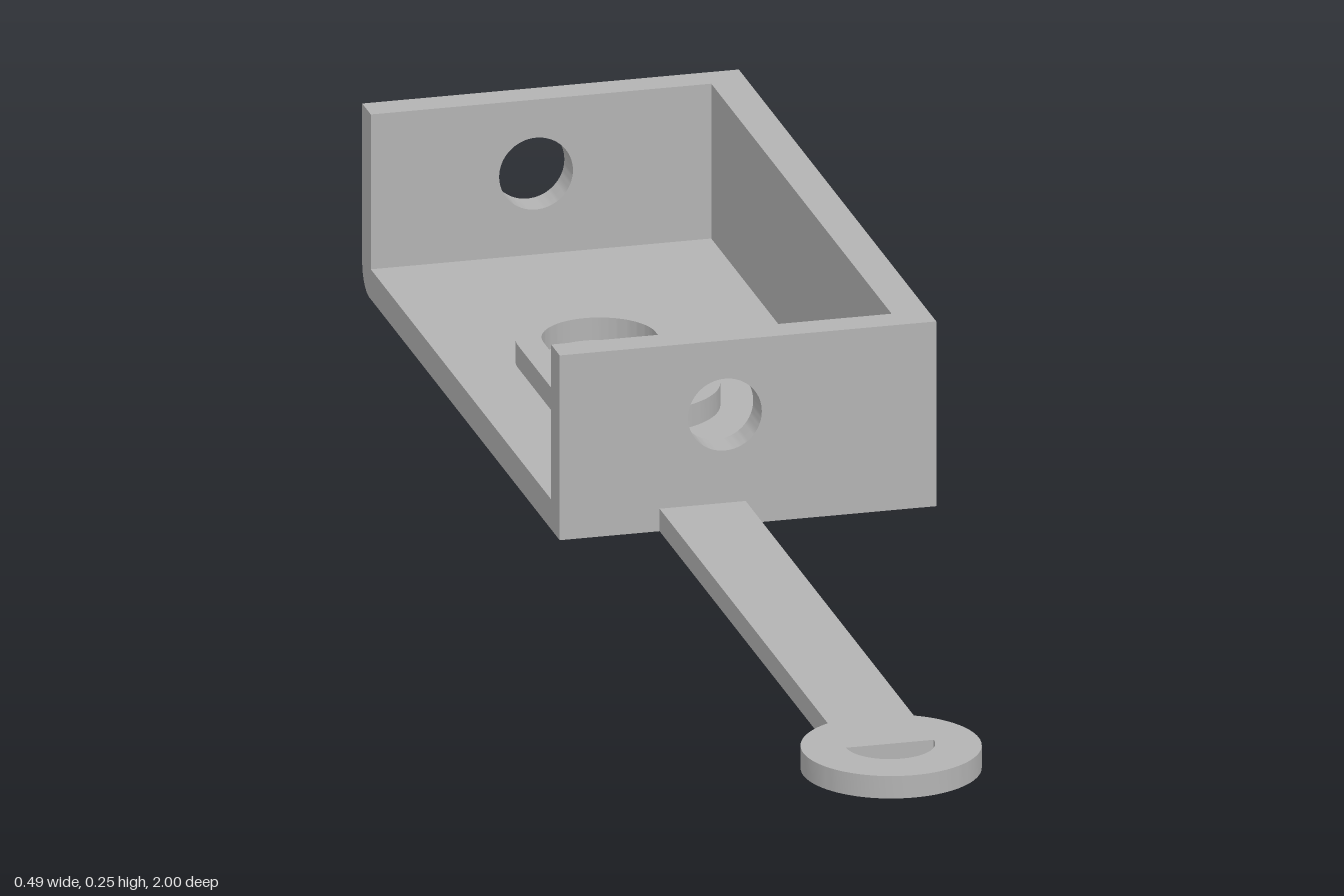
import * as THREE from 'three';
import { toCreasedNormals } from 'three/addons/utils/BufferGeometryUtils.js';

const W = 0.245;                      // half width of the tray
const BACK = -1, FRONT = -0.035;      // tray ends along z
const HEIGHT = 0.247, WALL = 0.042, FLOOR = 0.04;

export function createModel() {
  const model = new THREE.Group();
  const grey = new THREE.MeshStandardMaterial({ color: 0xb3b3b3 });
  grey.name = 'plain grey';

  const add = (name, geometry) => {
    const mesh = new THREE.Mesh(toCreasedNormals(geometry, 0.6), grey);
    mesh.name = name;
    model.add(mesh);
    return mesh;
  };
  const extrude = (shape, depth) =>
    new THREE.ExtrudeGeometry(shape, { depth, bevelEnabled: false, curveSegments: 32 });
  // Plan shapes are drawn in (x, -z) and extruded upwards
  const plate = (shape, height) => extrude(shape, height).rotateX(-Math.PI / 2);

  // Floor: side profile with a rounded lower back edge, extruded across x
  const r = 0.035;
  const profile = new THREE.Shape();
  profile.moveTo(FRONT, 0);
  profile.lineTo(FRONT, FLOOR);
  profile.lineTo(BACK, FLOOR);
  profile.lineTo(BACK, r);
  profile.absarc(BACK + r, r, r, Math.PI, Math.PI * 1.5, false);
  profile.closePath();
  add('trayFloor', extrude(profile, 2 * W).rotateY(-Math.PI / 2).translate(W, 0, 0));

  // End walls, each with a round hole
  for (const [name, z] of [['backWall', BACK], ['frontWall', FRONT - WALL]]) {
    const wall = new THREE.Shape();
    wall.moveTo(-W, FLOOR);
    wall.lineTo(W, FLOOR);
    wall.lineTo(W, HEIGHT);
    wall.lineTo(-W, HEIGHT);
    wall.closePath();
    wall.holes.push(new THREE.Path().absarc(-0.03, 0.148, 0.048, 0, Math.PI * 2, true));
    add(name, extrude(wall, WALL).translate(0, 0, z));
  }

  // Long side wall; the opposite side stays open
  const length = FRONT - BACK - 2 * WALL;
  add('sideWall', new THREE.BoxGeometry(WALL + 0.005, HEIGHT - FLOOR, length)
    .translate(W - (WALL + 0.005) / 2, (HEIGHT + FLOOR) / 2, (FRONT + BACK) / 2));

  // Raised slot-shaped rim on the floor
  const slot = (path, radius, half) => {
    path.absarc(0, half, radius, 0, Math.PI, false);
    path.absarc(0, -half, radius, Math.PI, Math.PI * 2, false);
    path.closePath();
    return path;
  };
  const rim = slot(new THREE.Shape(), 0.107, 0.085);
  rim.holes.push(slot(new THREE.Path(), 0.073, 0.089));
  add('slotRim', plate(rim, 0.03)).position.set(-0.053, FLOOR, -0.472);

  // Flat arm ending in a ring with a half-round hole
  const cx = -0.059, cz = 0.886, R = 0.114, half = 0.056;
  const a = Math.asin(half / R);
  const arm = new THREE.Shape();
  arm.moveTo(cx + half, -FRONT);
  arm.lineTo(cx - half, -FRONT);
  arm.absarc(cx, -cz, R, Math.PI / 2 + a, Math.PI * 2.5 - a, false);
  arm.closePath();
  const eye = new THREE.Path();
  eye.absarc(cx, -0.88, 0.057, Math.PI, Math.PI * 2, false);
  eye.closePath();
  arm.holes.push(eye);
  add('armWithRing', plate(arm, 0.03));

  return model;
}
